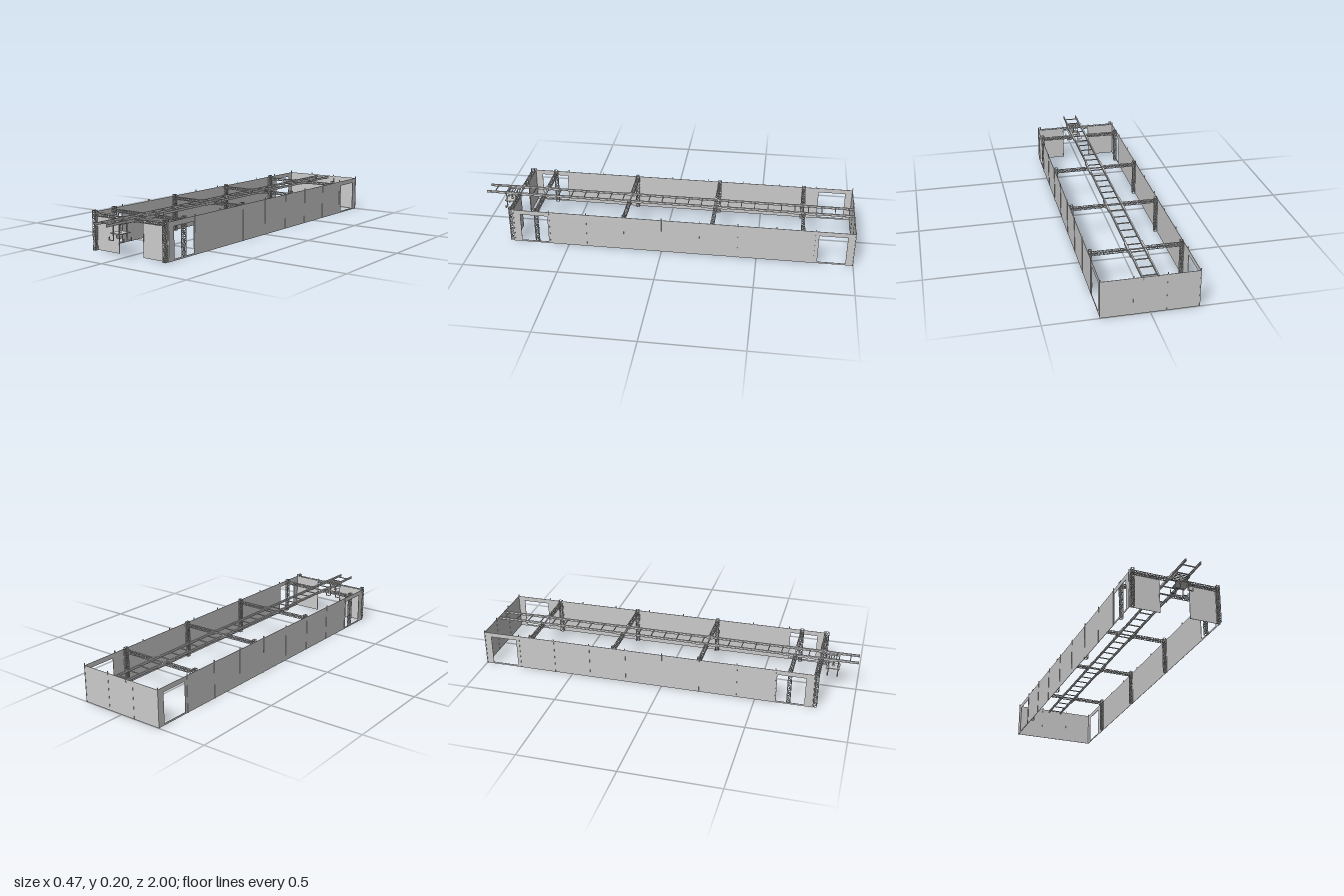
import * as THREE from 'three';
import { mergeGeometries } from 'three/addons/utils/BufferGeometryUtils.js';

const grey = new THREE.MeshStandardMaterial({ color: 0xcccccc, side: THREE.DoubleSide });

// Box given by its extents
function box(x0, x1, y0, y1, z0, z1) {
  return new THREE.BoxGeometry(Math.abs(x1 - x0), y1 - y0, Math.abs(z1 - z0))
    .translate((x0 + x1) / 2, (y0 + y1) / 2, (z0 + z1) / 2);
}

// Square bar between two points
function bar(a, b, t) {
  const p = new THREE.Vector3(...a), q = new THREE.Vector3(...b);
  const d = q.clone().sub(p);
  const turn = new THREE.Quaternion().setFromUnitVectors(new THREE.Vector3(0, 1, 0), d.clone().normalize());
  return new THREE.BoxGeometry(t, d.length(), t).applyQuaternion(turn)
    .translate((p.x + q.x) / 2, (p.y + q.y) / 2, (p.z + q.z) / 2);
}

function part(name, geometries) {
  const mesh = new THREE.Mesh(mergeGeometries(geometries), grey);
  mesh.name = name;
  return mesh;
}

// Upright lattice: four chords, with rungs and alternating diagonals on all sides
function lattice(length, w, d, bays, t = 0.0025) {
  const out = [], x = w / 2 - t / 2, z = d / 2 - t / 2;
  const corners = [[-x, -z], [x, -z], [x, z], [-x, z]];
  const step = (length - t) / bays;
  corners.forEach(([cx, cz], k) => {
    const [nx, nz] = corners[(k + 1) % 4];
    out.push(bar([cx, 0, cz], [cx, length, cz], t));
    for (let i = 0; i <= bays; i++) {
      const y = t / 2 + i * step;
      out.push(bar([cx, y, cz], [nx, y, nz], t * 0.8));
      if (i === bays) continue;
      const flip = (i + k) % 2;
      out.push(bar([cx, y + (flip ? step : 0), cz], [nx, y + (flip ? 0 : step), nz], t * 0.8));
    }
  });
  return mergeGeometries(out);
}

const WALL_X = 0.2325, WALL_H = 0.19, POST_H = 0.2, BACK = -0.998, FRONT = 0.796;

// Side wall with one doorway near each end
function sideWall() {
  const s = new THREE.Shape();
  s.moveTo(BACK, 0).lineTo(0.8, 0).lineTo(0.8, WALL_H).lineTo(BACK, WALL_H).closePath();
  for (const [a, b] of [[-0.96, -0.815], [0.61, 0.757]]) {
    const h = new THREE.Path();
    h.moveTo(a, 0.009).lineTo(a, 0.165).lineTo(b, 0.165).lineTo(b, 0.009).closePath();
    s.holes.push(h);
  }
  return new THREE.ExtrudeGeometry(s, { depth: 0.002, bevelEnabled: false })
    .rotateY(-Math.PI / 2).translate(0.001, 0, 0);
}

function post(x, z, t = 0.004) {
  return box(x - t / 2, x + t / 2, 0, POST_H, z - t / 2, z + t / 2);
}

function createModel() {
  const model = new THREE.Group();
  model.name = 'hallWithOverheadTrack';

  // Walls and posts
  const posts = [];
  for (const s of [-1, 1]) {
    model.add(part('sideWall', [sideWall().translate(s * WALL_X, 0, 0)]));
    for (let i = 0; i < 10; i++) posts.push(post(s * (WALL_X + 0.001), Math.min(FRONT, BACK + i * 0.2)));
    model.add(part('frontPanel', [box(s * 0.08, s * WALL_X, 0, WALL_H, FRONT - 0.001, FRONT + 0.001)]));
    posts.push(post(s * 0.079, BACK), post(s * 0.079, FRONT));
  }
  model.add(part('backWall', [box(-WALL_X, WALL_X, 0, WALL_H, BACK - 0.001, BACK + 0.001)]));
  model.add(part('wallPosts', posts));

  // Lattice gantries: two towers and a beam in two halves, clamped to the track
  const tower = lattice(POST_H, 0.016, 0.02, 10);
  const halfBeam = lattice(0.17, 0.015, 0.019, 6).rotateZ(-Math.PI / 2).translate(0.046, 0.1795, 0);
  [0.811, 0.674, 0.201, -0.265, -0.731].forEach((z) => {
    const gantry = new THREE.Group();
    gantry.name = 'gantry';
    gantry.position.z = z;
    for (const s of [-1, 1]) {
      gantry.add(part('tower', [tower.clone().translate(s * 0.223, 0, 0)]));
      const beam = halfBeam.clone();
      if (s < 0) beam.rotateY(Math.PI);
      gantry.add(part('beam', [beam]));
      gantry.add(part('trackClamp', [
        box(s * 0.041, s * 0.045, 0.174, 0.186, -0.065, 0.065),
        box(s * 0.037, s * 0.046, 0.186, 0.189, -0.012, 0.012),
        box(s * 0.037, s * 0.046, 0.169, 0.172, -0.012, 0.012),
        box(s * 0.042, s * 0.046, 0.169, 0.189, -0.012, 0.012)
      ]));
    }
    gantry.add(part('beamLink', [box(-0.04, 0.04, 0.177, 0.182, -0.003, 0.003)]));
    model.add(gantry);
  });

  // Overhead track: two I-section rails with cross ties
  for (const s of [-1, 1]) {
    const x = s * 0.0375;
    model.add(part('rail', [
      box(x - 0.0035, x + 0.0035, 0.185, 0.187, -1, 1),
      box(x - 0.0012, x + 0.0012, 0.177, 0.186, -1, 1),
      box(x - 0.0035, x + 0.0035, 0.175, 0.177, -1, 1)
    ]));
  }
  const ties = [];
  for (let i = 0; i < 28; i++) {
    const z = -0.972 + i * 0.0714;
    ties.push(box(-0.036, 0.036, 0.178, 0.183, z - 0.002, z + 0.002));
  }
  model.add(part('crossTies', ties));

  // Trolley carrying a lift cylinder, a plate and four hooks
  const trolley = new THREE.Group();
  trolley.name = 'trolley';
  const frame = [];
  for (let i = 0; i < 6; i++) {
    const z = 0.83 + i * 0.0135;
    frame.push(box(-0.032, 0.032, 0.169, 0.172, z - 0.002, z + 0.002));
  }
  for (const s of [-1, 1]) {
    frame.push(box(s * 0.028, s * 0.032, 0.169, 0.176, 0.828, 0.9));
    for (const z of [0.846, 0.897]) {
      const x = s * 0.019;
      trolley.add(part('hanger', [box(x - 0.0012, x + 0.0012, 0.124, 0.17, z - 0.003, z + 0.003)]));
      trolley.add(part('hook', [
        box(x - 0.0015, x + 0.0015, 0.088, 0.124, z - 0.003, z + 0.003),
        box(x - s * 0.0015, s * 0.047, 0.087, 0.09, z - 0.003, z + 0.003),
        box(s * 0.0445, s * 0.047, 0.087, 0.104, z - 0.003, z + 0.003)
      ]));
    }
  }
  trolley.add(part('trolleyFrame', frame));
  trolley.add(part('liftPlate', [box(-0.032, 0.032, 0.122, 0.126, 0.835, 0.906)]));
  const profile = [[0, 0.126], [0.007, 0.126], [0.007, 0.129], [0.0025, 0.133], [0.0025, 0.139],
    [0.0045, 0.139], [0.0045, 0.165], [0.007, 0.165], [0.007, 0.17], [0, 0.17]];
  trolley.add(part('liftCylinder', [
    new THREE.LatheGeometry(profile.map(([r, y]) => new THREE.Vector2(r, y)), 16).translate(0, 0, 0.871)
  ]));
  model.add(trolley);

  return model;
}

export { createModel };
